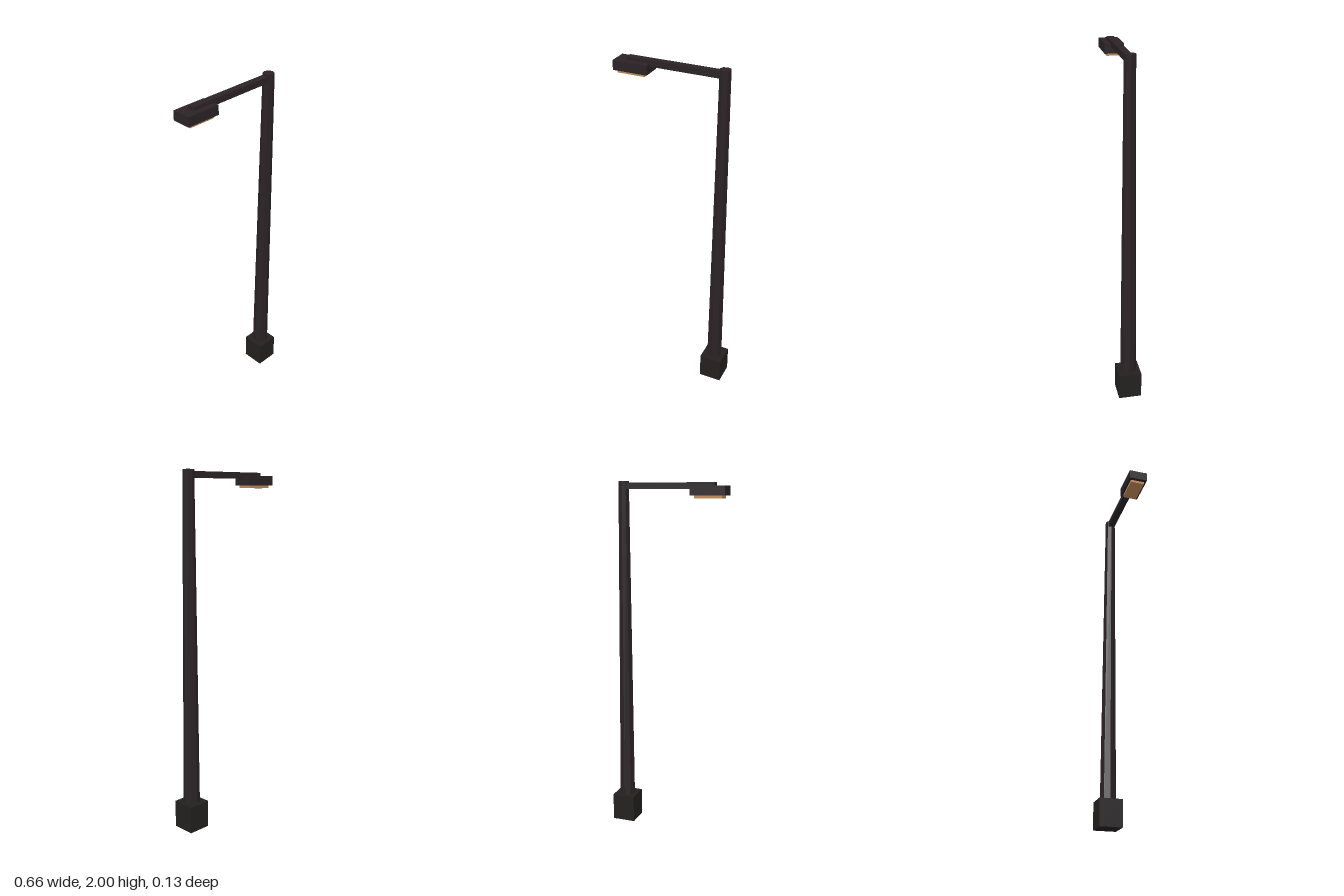
import * as THREE from 'three';

const paint = (color) => new THREE.MeshStandardMaterial({ color, flatShading: true });

export function createModel() {
  const group = new THREE.Group();
  const metal = paint(0x2b2326);
  const footing = paint(0x242020);
  const glow = paint(0xc08a58);

  const add = (name, geometry, material, x, y) => {
    const mesh = new THREE.Mesh(geometry, material);
    mesh.name = name;
    mesh.position.set(x, y, 0);
    group.add(mesh);
  };
  // Box given by its x and y limits and its depth
  const addBox = (name, material, x0, x1, y0, y1, depth) =>
    add(name, new THREE.BoxGeometry(x1 - x0, y1 - y0, depth), material, (x0 + x1) / 2, (y0 + y1) / 2);

  const poleX = 0.266;

  // Square footing and tapered eight-sided pole
  addBox('base', footing, 0.2, 0.332, 0, 0.155, 0.132);
  add('pole', new THREE.CylinderGeometry(0.031, 0.047, 1.9, 8), metal, poleX, 1.05);

  // Arm reaching out to the lamp head
  addBox('arm', metal, -0.266, poleX, 1.956, 1.99, 0.039);
  addBox('lampHead', metal, -0.332, -0.138, 1.92, 1.972, 0.106);
  addBox('lampPanel', glow, -0.312, -0.157, 1.905, 1.925, 0.08);

  return group;
}
